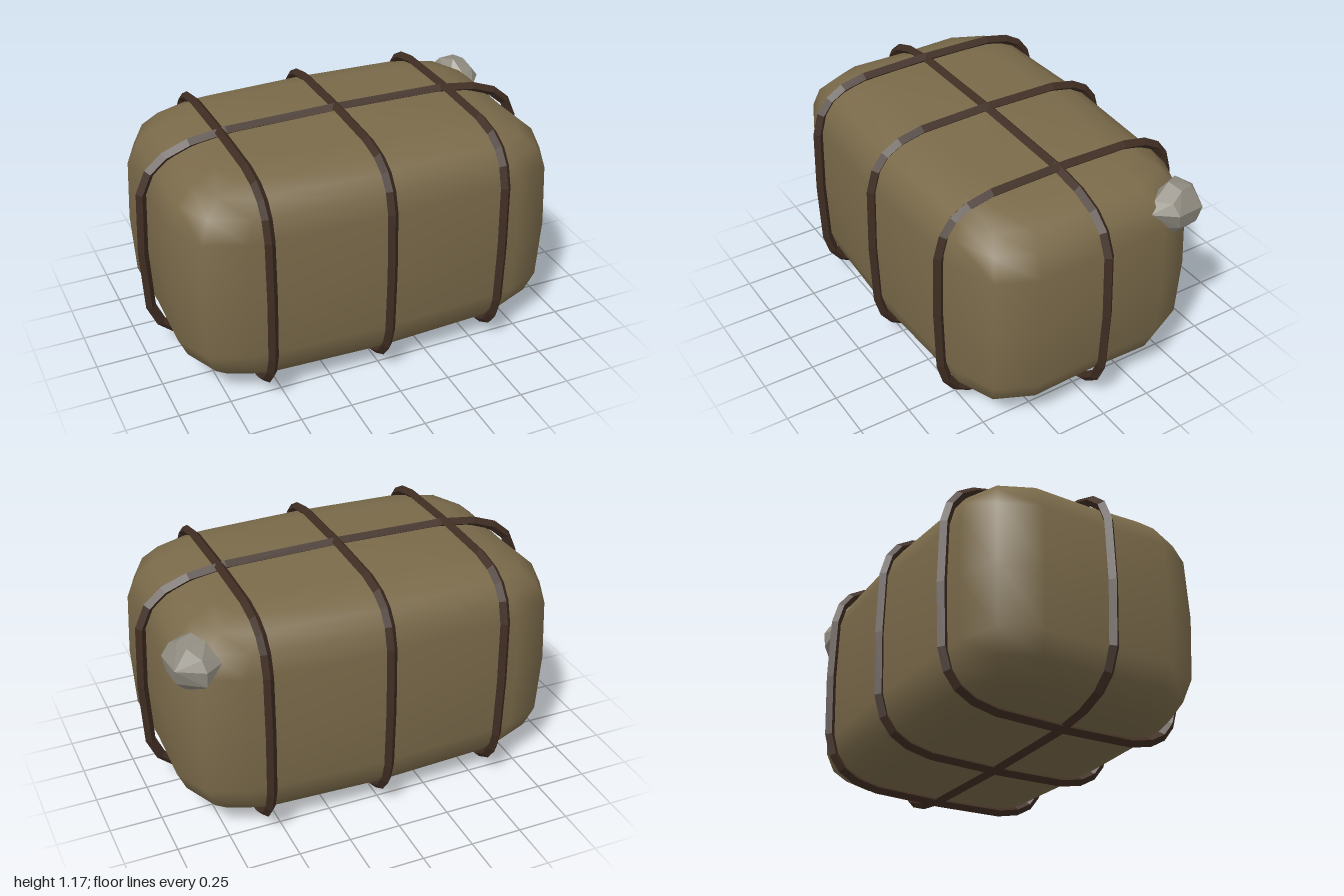
import * as THREE from 'three';
import { ConvexGeometry } from 'three/addons/geometries/ConvexGeometry.js';

const CENTER_Y = 0.583;
const pow = (v, e) => Math.sign(v) * Math.pow(Math.abs(v), e);

// Indexed grid surface, rows x cols, columns wrapping; rows wrap when closed
function gridGeometry(rows, cols, closed, pointAt) {
  const positions = [], index = [];
  for (let i = 0; i < rows; i++)
    for (let j = 0; j < cols; j++) positions.push(...pointAt(i, j));
  for (let i = 0; i < (closed ? rows : rows - 1); i++) {
    for (let j = 0; j < cols; j++) {
      const i2 = (i + 1) % rows, j2 = (j + 1) % cols;
      const a = i * cols + j, b = i * cols + j2, c = i2 * cols + j2, d = i2 * cols + j;
      index.push(a, c, b, a, d, c);
    }
  }
  const geometry = new THREE.BufferGeometry();
  geometry.setAttribute('position', new THREE.Float32BufferAttribute(positions, 3));
  geometry.setIndex(index);
  geometry.computeVertexNormals();
  return geometry;
}

// Soft bale: a rounded, slightly bulging plan outline stacked along a rounded profile
function bundleGeometry() {
  const quarter = [[0.935, 0], [0.945, 0.33], [0.86, 0.515], [0.67, 0.592], [0, 0.622]];
  const outline = [];
  for (let k = 0; k < 16; k++) {
    const q = Math.floor(k / 4), t = k % 4;
    const [x, z] = quarter[q % 2 ? 4 - t : t];
    outline.push([q === 1 || q === 2 ? -x : x, q >= 2 ? -z : z]);
  }
  const rows = 13;
  return gridGeometry(rows, 16, false, (i, j) => {
    const a = -Math.PI / 2 + (Math.PI * i) / (rows - 1);
    const r = i === 0 || i === rows - 1 ? 0 : pow(Math.cos(a), 0.45);
    return [outline[j][0] * r, CENTER_Y + 0.548 * pow(Math.sin(a), 0.45), outline[j][1] * r];
  });
}

// Diamond-section strap around a rounded rectangle in the xy plane
function strapGeometry(halfWidth, halfHeight) {
  const n = 24, r = 0.025;
  const point = (i) => {
    const a = (i * Math.PI * 2) / n, c = Math.cos(a), s = Math.sin(a);
    return new THREE.Vector2(
      Math.abs(c) < 1e-6 ? 0 : halfWidth * pow(c, 0.43),
      Math.abs(s) < 1e-6 ? 0 : halfHeight * pow(s, 0.43));
  };
  return gridGeometry(n, 4, true, (i, j) => {
    const p = point(i);
    const before = p.clone().sub(point(i - 1)).normalize();
    const after = point(i + 1).sub(p).normalize();
    const t = before.add(after).normalize();
    const out = r * Math.cos((j * Math.PI) / 2), side = r * Math.sin((j * Math.PI) / 2);
    return [p.x + t.y * out, p.y - t.x * out, side];
  });
}

// Faceted lump resting on the upper back corner
function stoneGeometry() {
  const points = [
    // crown
    [0.80, 1.045, -0.47], [0.84, 1.06, -0.40], [0.91, 1.045, -0.42], [0.89, 1.04, -0.49], [0.84, 1.0, -0.54],
    // upper girth
    [0.75, 0.96, -0.53], [0.83, 0.95, -0.57], [0.955, 0.955, -0.51], [0.97, 0.96, -0.37],
    [0.89, 0.96, -0.27], [0.78, 0.96, -0.33], [0.93, 1.01, -0.36], [0.86, 1.0, -0.31],
    // lower girth
    [0.83, 0.875, -0.562], [0.945, 0.88, -0.49], [0.955, 0.885, -0.39], [0.88, 0.87, -0.315], [0.79, 0.88, -0.36],
    // underside
    [0.84, 0.825, -0.49], [0.90, 0.825, -0.46], [0.90, 0.82, -0.40], [0.84, 0.83, -0.37],
  ];
  return new ConvexGeometry(points.map((p) => new THREE.Vector3(...p)));
}

export function createModel() {
  const model = new THREE.Group();
  model.name = 'strappedBundle';

  const cloth = new THREE.MeshStandardMaterial({ color: 0x7a6a4a });
  const leather = new THREE.MeshStandardMaterial({ color: 0x3f2d22, flatShading: true });
  const rock = new THREE.MeshStandardMaterial({ color: 0x8f8b80, flatShading: true });

  const add = (name, geometry, material) => {
    const mesh = new THREE.Mesh(geometry, material);
    mesh.name = name;
    model.add(mesh);
    return mesh;
  };

  add('bundle', bundleGeometry(), cloth);

  // One strap lengthwise, three crosswise
  add('longStrap', strapGeometry(0.975, 0.55), leather).position.y = CENTER_Y;
  for (const x of [-0.575, 0, 0.575]) {
    const outer = x !== 0;
    const strap = add(outer ? (x > 0 ? 'leftStrap' : 'rightStrap') : 'middleStrap',
      strapGeometry(outer ? 0.622 : 0.635, outer ? 0.548 : 0.558), leather);
    strap.position.set(x, CENTER_Y, 0);
    strap.rotation.y = Math.PI / 2;
  }

  add('stone', stoneGeometry(), rock);
  return model;
}
